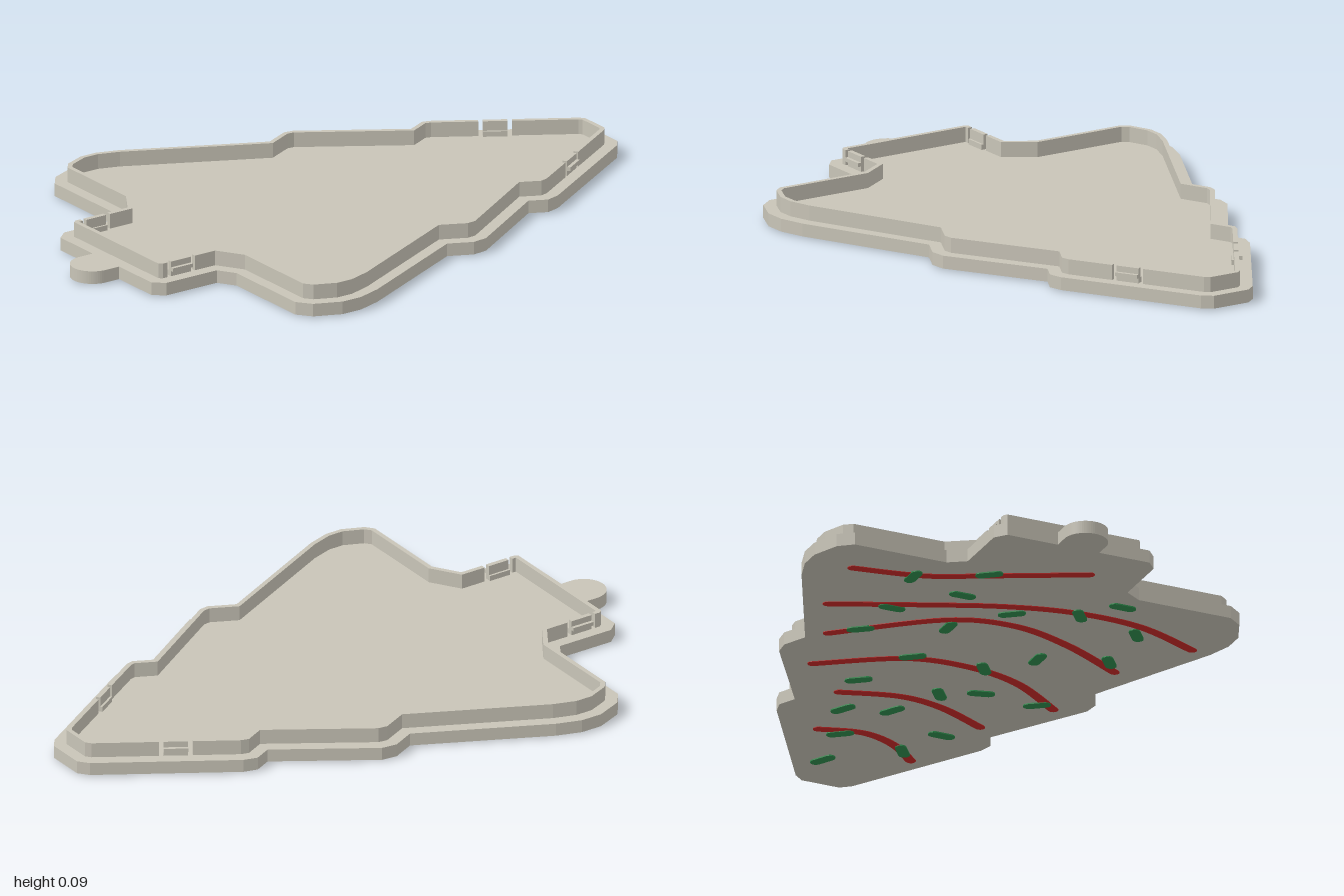
import * as THREE from 'three';

const shell = new THREE.MeshStandardMaterial({ color: 0xc8c4b7 });
shell.name = 'warm grey shell';
const red = new THREE.MeshStandardMaterial({ color: 0xcc2a28 });
red.name = 'garland red';
const green = new THREE.MeshStandardMaterial({ color: 0x2f8f4e });
green.name = 'sprinkle green';

const BASE_Y = 0.004, BASE_TOP = 0.045, TOP = 0.093;

// Right half of the tree outline as [x, z], from the apex down to the trunk
const HALF = [
  [0.063, -1], [0.095, -0.975], [0.345, -0.575], [0.357, -0.53], [0.33, -0.475],
  [0.52, -0.18], [0.526, -0.13], [0.49, -0.055], [0.69, 0.35], [0.716, 0.43],
  [0.716, 0.5], [0.68, 0.585], [0.635, 0.62], [0.325, 0.62], [0.27, 0.655],
  [0.27, 0.845], [0.24, 0.88],
];
// Edges that carry a snap clip: start index and the four slit positions along it
const CLIPS = { 1: [0.454, 0.484, 0.644, 0.674], 14: [0.29, 0.37, 0.76, 0.83] };

// Full outline, with slit points tagged
function outline() {
  const half = [];
  HALF.forEach((p, i) => {
    half.push({ x: p[0], z: p[1] });
    for (const t of CLIPS[i] ?? []) {
      const q = HALF[i + 1];
      half.push({ x: p[0] + (q[0] - p[0]) * t, z: p[1] + (q[1] - p[1]) * t, slit: true });
    }
  });
  return [...half, ...half.map((p) => ({ ...p, x: -p.x })).reverse()];
}

// Mitred inward offset of a closed outline
function inset(loop, d) {
  const n = loop.length;
  const normal = (a, b) => new THREE.Vector2(a.z - b.z, b.x - a.x).normalize();
  return loop.map((p, i) => {
    const n1 = normal(loop[(i + n - 1) % n], p);
    const n2 = normal(p, loop[(i + 1) % n]);
    const m = n1.clone().add(n2).multiplyScalar(d / (1 + n1.dot(n2)));
    return new THREE.Vector2(p.x + m.x, p.z + m.y);
  });
}

// Horizontal slab: a shape in x, z raised from y0 to y1
function slab(name, shape, y0, y1, material) {
  const geo = new THREE.ExtrudeGeometry(shape, { depth: y1 - y0, bevelEnabled: false, curveSegments: 16 });
  geo.rotateX(Math.PI / 2).translate(0, y1, 0);
  const mesh = new THREE.Mesh(geo, material);
  mesh.name = name;
  return mesh;
}

// Round-ended stroke following a spline
function stroke(points, width, steps) {
  const curve = new THREE.SplineCurve(points.map((p) => new THREE.Vector2(...p)));
  const r = width / 2, left = [], right = [];
  const around = (t, a) => {
    const p = curve.getPoint(t), d = curve.getTangent(t), angle = Math.atan2(d.y, d.x) + a;
    return new THREE.Vector2(p.x + r * Math.cos(angle), p.y + r * Math.sin(angle));
  };
  for (let i = 0; i <= steps; i++) {
    left.push(around(i / steps, Math.PI / 2));
    right.unshift(around(i / steps, -Math.PI / 2));
  }
  const cap = (t, from) => [1, 2, 3, 4, 5].map((k) => around(t, from - (k * Math.PI) / 6));
  return new THREE.Shape([...left, ...cap(1, Math.PI / 2), ...right, ...cap(0, -Math.PI / 2)]);
}

// Garlands, each a hanging curve in x, z
const GARLANDS = [
  [[0.18, -0.73], [0.08, -0.645], [-0.04, -0.607], [-0.175, -0.64]],
  [[0.27, -0.42], [0.1, -0.34], [-0.05, -0.32], [-0.23, -0.37]],
  [[0.42, -0.21], [0.24, -0.085], [0.05, -0.038], [-0.15, -0.064], [-0.39, -0.217]],
  [[0.476, 0.115], [0.265, 0.23], [0.056, 0.29], [-0.157, 0.24], [-0.44, 0.003]],
  [[0.624, 0.36], [0.41, 0.446], [0.185, 0.455], [-0.03, 0.406], [-0.27, 0.309], [-0.53, 0.196]],
  [[0.11, 0.725], [-0.165, 0.589], [-0.345, 0.505], [-0.57, 0.464]],
];
// Sprinkles: x, z, angle in degrees
const SPRINKLES = [
  [0.126, -0.675, 127], [-0.069, -0.834, 61], [0.187, -0.522, 0], [-0.1, -0.64, 37],
  [-0.026, -0.421, 61], [-0.168, -0.473, 61], [0.169, -0.195, 15], [0.361, -0.2, 37],
  [0.055, -0.253, 127], [0.222, 0.103, 90], [-0.213, -0.262, 37], [0.101, -0.028, 127],
  [0.423, 0.388, 127], [0.43, 0.176, 127], [0.206, 0.444, 127], [-0.124, 0.198, 90],
  [-0.363, 0.075, 37], [-0.341, 0.255, 0], [-0.182, 0.427, 0], [0.3, 0.554, 0],
  [-0.171, 0.598, 37], [-0.376, 0.487, 90], [0.012, 0.368, 37], [-0.134, -0.04, 37],
];

export function createModel() {
  const model = new THREE.Group();
  model.name = 'treeLid';
  const loop = outline();

  // Flat base with its pull tab
  model.add(slab('base', new THREE.Shape(inset(loop, 0)), BASE_Y, BASE_TOP, shell));
  const tab = new THREE.Shape();
  tab.moveTo(-0.07, 0.88);
  tab.lineTo(0.07, 0.88);
  tab.lineTo(0.07, 0.93);
  tab.absarc(0, 0.93, 0.07, 0, Math.PI, false);
  tab.closePath();
  model.add(slab('pullTab', tab, BASE_Y, BASE_TOP, shell));

  // Rim wall, cut by slits into wall runs and snap clips
  const rings = {};
  const ring = (d) => (rings[d] ??= inset(loop, d));
  const run = (from, to, dOut, dIn) => {
    const ids = [from];
    while (ids.at(-1) !== to) ids.push((ids.at(-1) + 1) % loop.length);
    return new THREE.Shape([...ids.map((i) => ring(dOut)[i]), ...ids.reverse().map((i) => ring(dIn)[i])]);
  };
  const slits = loop.flatMap((p, i) => (p.slit ? [i] : []));
  for (let j = 1; j < slits.length; j += 2) {
    const from = slits[j], to = slits[(j + 1) % slits.length];
    const isClip = j % 4 === 1;
    model.add(slab(isClip ? 'snapClip' : 'rimWall', run(from, to, 0.039, 0.054), BASE_TOP - 0.002, TOP, shell));
    if (isClip) {
      model.add(slab('clipRidge', run(from, to, 0.028, 0.042), 0.062, 0.074, shell));
      model.add(slab('clipBacking', run(from, to, 0.05, 0.061), BASE_TOP - 0.002, 0.062, shell));
    }
  }

  // Painted decoration on the underside
  for (const points of GARLANDS) {
    model.add(slab('garland', stroke(points, 0.032, 32), 0.002, 0.005, red));
  }
  for (const [x, z, deg] of SPRINKLES) {
    const a = THREE.MathUtils.degToRad(deg), dx = 0.026 * Math.cos(a), dz = 0.026 * Math.sin(a);
    model.add(slab('sprinkle', stroke([[x - dx, z - dz], [x + dx, z + dz]], 0.036, 1), 0, 0.005, green));
  }
  return model;
}
